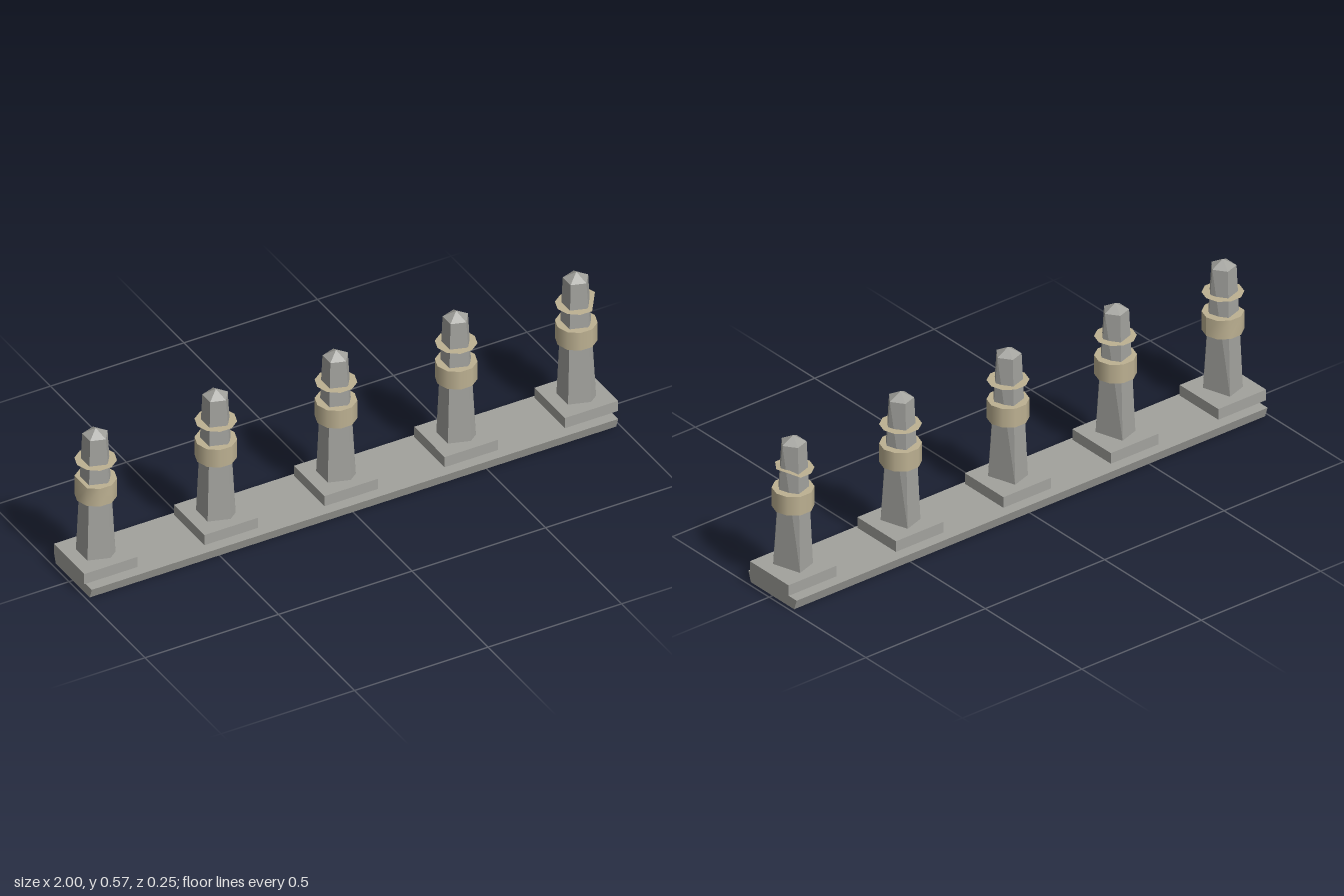
import * as THREE from 'three';
import { ConvexGeometry } from 'three/addons/geometries/ConvexGeometry.js';

export function createModel() {
  const model = new THREE.Group();
  model.name = 'pillarRow';
  const stone = new THREE.MeshStandardMaterial({ color: 0xa2a29d, flatShading: true, side: THREE.DoubleSide });
  stone.name = 'grey stone';
  const brass = new THREE.MeshStandardMaterial({ color: 0xbdb192, side: THREE.DoubleSide });
  brass.name = 'dull brass';

  const add = (parent, name, geometry, material, y = 0) => {
    const mesh = new THREE.Mesh(geometry, material);
    mesh.name = name;
    mesh.position.y = y;
    parent.add(mesh);
  };
  // point on a circle, angle in degrees from +x towards +z
  const polar = (radius, degrees, y) => {
    const a = THREE.MathUtils.degToRad(degrees);
    return new THREE.Vector3(radius * Math.cos(a), y, radius * Math.sin(a));
  };
  // move the vertices lying at one point
  const nudge = (geometry, from, to) => {
    const p = geometry.attributes.position;
    const v = new THREE.Vector3();
    for (let i = 0; i < p.count; i++) {
      if (v.fromBufferAttribute(p, i).distanceTo(from) < 0.002) p.setXYZ(i, to.x, to.y, to.z);
    }
    geometry.computeVertexNormals();
  };

  // long plinth: a hollow shell open below, its front and back flaring upward
  const low = [[-0.986, 0, 0.112], [0.986, 0, 0.112], [0.986, 0, -0.112], [-0.986, 0, -0.112]];
  const high = low.map(([x, , z]) => [x, 0.038, Math.sign(z) * 0.125]);
  const plinth = new THREE.BufferGeometry();
  plinth.setAttribute('position', new THREE.Float32BufferAttribute([...low, ...high].flat(), 3));
  const faces = [4, 5, 6, 4, 6, 7];
  for (let i = 0; i < 4; i++) {
    const j = (i + 1) % 4;
    faces.push(i, j, j + 4, i, j + 4, i + 4);
  }
  plinth.setIndex(faces);
  plinth.computeVertexNormals();
  add(model, 'plinth', plinth, stone);

  // five-sided tapering shaft with a pointed top; one foot corner is turned
  const corners = [0, 72, 144, 216, 288];
  const shaft = new ConvexGeometry([
    ...corners.map((a) => polar(0.065, a || 36, 0.09)),
    ...corners.map((a) => polar(0.0445, a, 0.55)),
    new THREE.Vector3(0, 0.575, 0),
  ]);

  for (let i = 0; i < 5; i++) {
    const pillar = new THREE.Group();
    pillar.name = 'pillar' + (i + 1);
    pillar.position.x = -0.9 + 0.45 * i;
    model.add(pillar);

    add(pillar, 'pedestal', new THREE.BoxGeometry(0.2, 0.04, 0.2), stone, 0.07);
    add(pillar, 'shaft', shaft, stone);

    // ten-sided collar and thin flat ring above it
    const collar = new THREE.CylinderGeometry(0.07, 0.07, 0.07, 10, 1, false, Math.PI / 2);
    add(pillar, 'collar', collar, brass, 0.345);
    const ring = new THREE.CircleGeometry(0.07, 10).rotateX(-Math.PI / 2);
    add(pillar, 'ring', ring, brass, 0.452);

    // chipped collar on the first pillar
    if (i === 0) nudge(collar, polar(0.07, 180, 0.035), polar(0.07, -144, 0.035));

    // bent ring on the last pillar
    if (i === 4) {
      nudge(ring, polar(0.07, 36, 0), polar(0.07, 72, 0));
      for (const a of [0, -36]) nudge(ring, polar(0.07, a, 0), polar(0.07, a, 0.019));
    }
  }
  return model;
}
